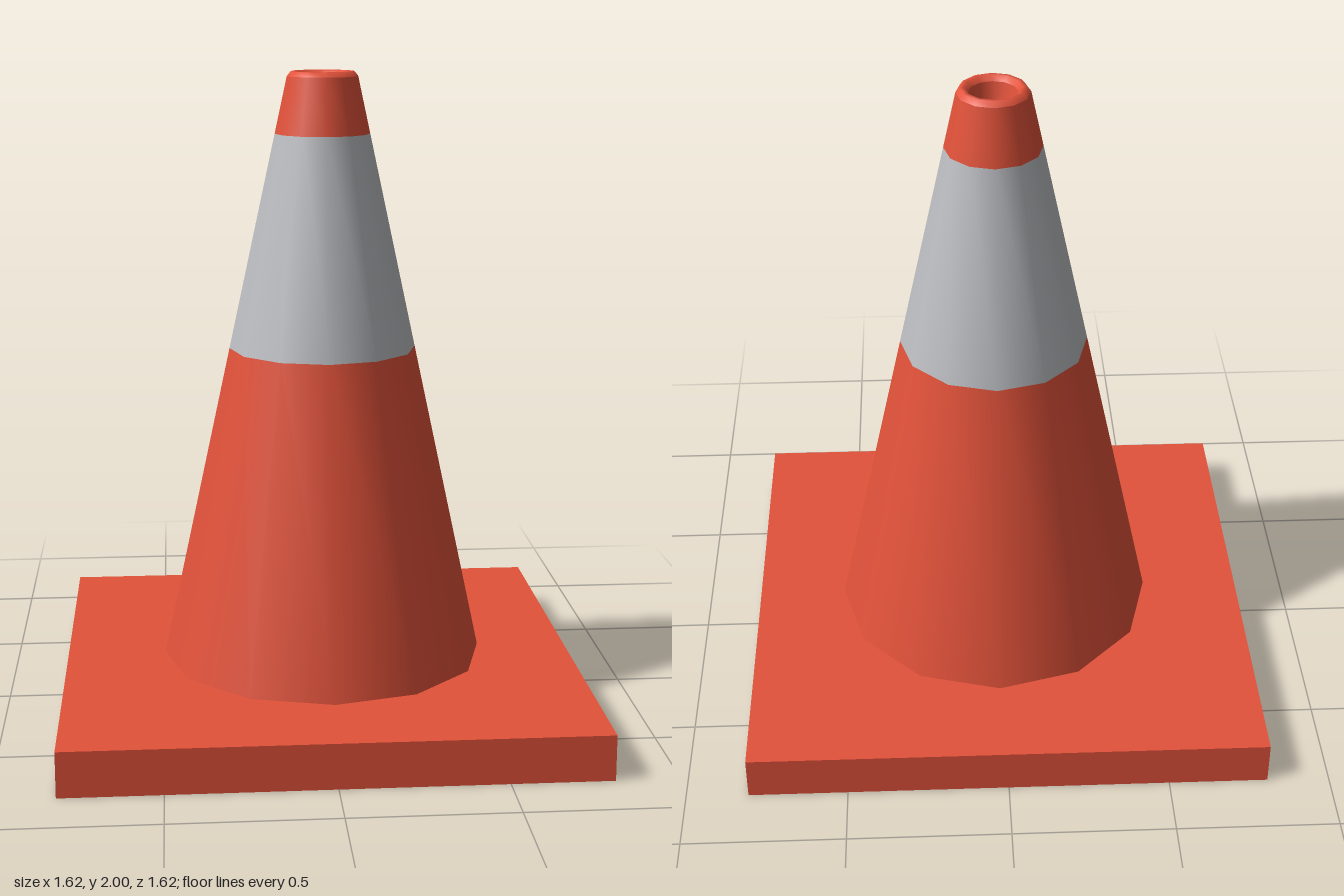
import * as THREE from 'three';

const orange = new THREE.MeshStandardMaterial({ color: 0xe2523a });
orange.name = 'orange';
const grey = new THREE.MeshStandardMaterial({ color: 0xbcbec2 });
grey.name = 'reflective grey';

const SIDES = 12;

// Outer radius of the straight taper at height y
const taper = (y) => 0.51 - ((y - 0.14) / 1.845) * 0.4;

export function createModel() {
  const model = new THREE.Group();
  model.name = 'trafficCone';

  const add = (name, geometry, material, x = 0, y = 0) => {
    const mesh = new THREE.Mesh(geometry, material);
    mesh.name = name;
    mesh.position.set(x, y, 0);
    model.add(mesh);
  };
  const ring = (name, points, material) =>
    add(name, new THREE.LatheGeometry(points.map(([r, y]) => new THREE.Vector2(r, y)), SIDES), material, 0.015);

  // Square foot
  add('base', new THREE.BoxGeometry(1.615, 0.14, 1.615), orange, 0, 0.07);

  // Tapered body in three colour bands
  ring('lowerBody', [[taper(0.14), 0.14], [taper(1.14), 1.14]], orange);
  ring('reflectiveBand', [[taper(1.14), 1.14], [taper(1.81), 1.81]], grey);
  ring('upperBody', [[taper(1.81), 1.81], [taper(1.985), 1.985]], orange);

  // Rounded lip that turns into the hollow tip
  ring('lip', [[0.11, 1.985], [0.098, 2], [0.085, 2], [0.073, 1.985]], orange);
  ring('holeWall', [[0.073, 1.985], [0.037, 1.81]], orange);
  ring('holeBottom', [[0.037, 1.81], [0, 1.76]], grey);

  return model;
}
